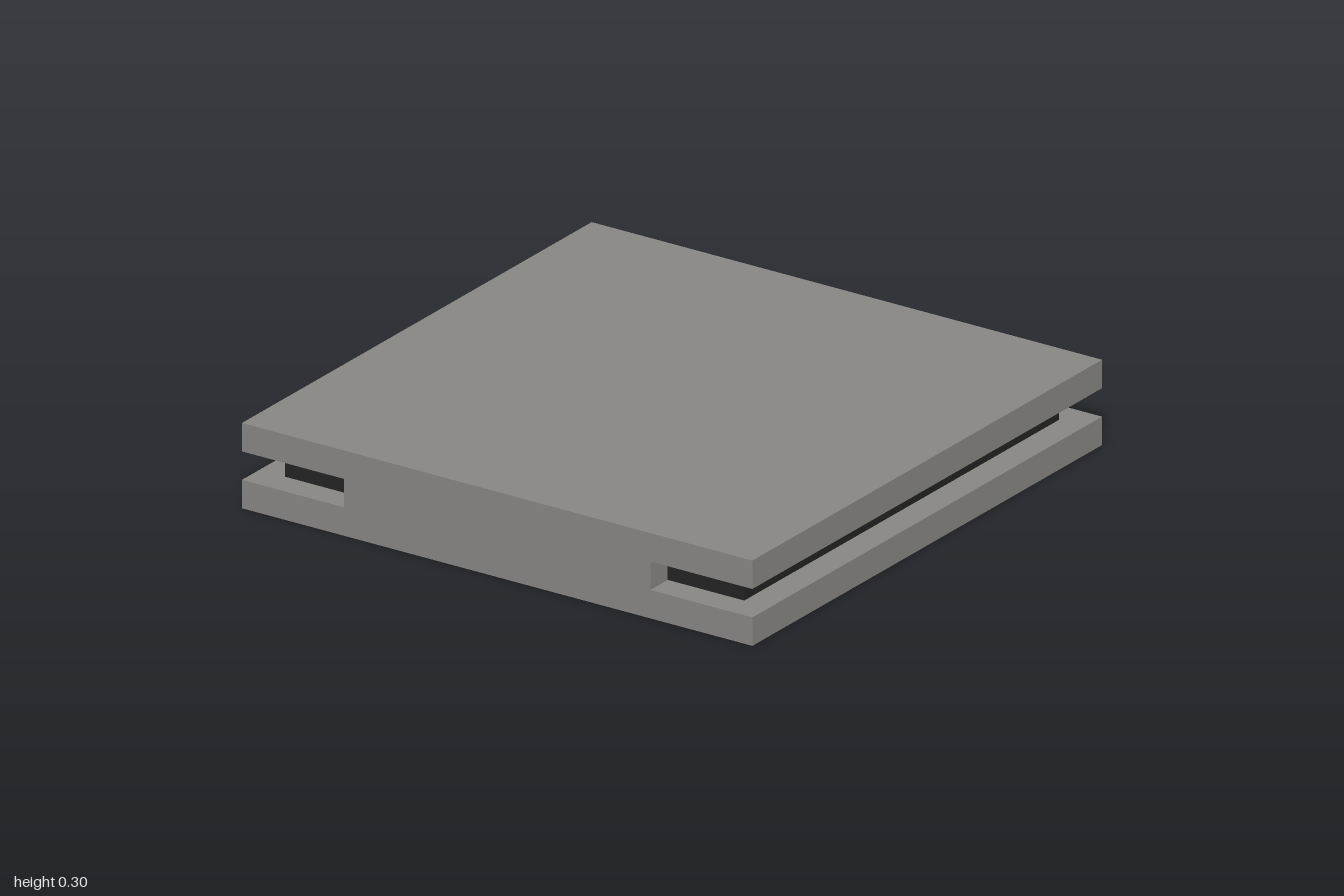
import * as THREE from 'three';

const stone = new THREE.MeshStandardMaterial({ color: 0x888683 });
stone.name = 'grey stone';
const dark = new THREE.MeshStandardMaterial({ color: 0x222322 });
dark.name = 'dark core';

function box(name, material, w, h, d, y, z = 0) {
  const mesh = new THREE.Mesh(new THREE.BoxGeometry(w, h, d), material);
  mesh.name = name;
  mesh.position.set(0, y, z);
  return mesh;
}

export function createModel() {
  const model = new THREE.Group();
  model.name = 'layeredSlab';

  // Outer plates
  model.add(box('bottomPlate', stone, 2, 0.1, 2, 0.05));
  model.add(box('topPlate', stone, 2, 0.1, 2, 0.25));

  // Recessed core between the plates
  model.add(box('core', dark, 1.8, 0.1, 1.8, 0.15));

  // Blocks joining the plates at front and back
  for (const [name, side] of [['frontBlock', 1], ['backBlock', -1]]) {
    model.add(box(name, stone, 1.2, 0.1, 0.1, 0.15, side * 0.95));
  }
  return model;
}
